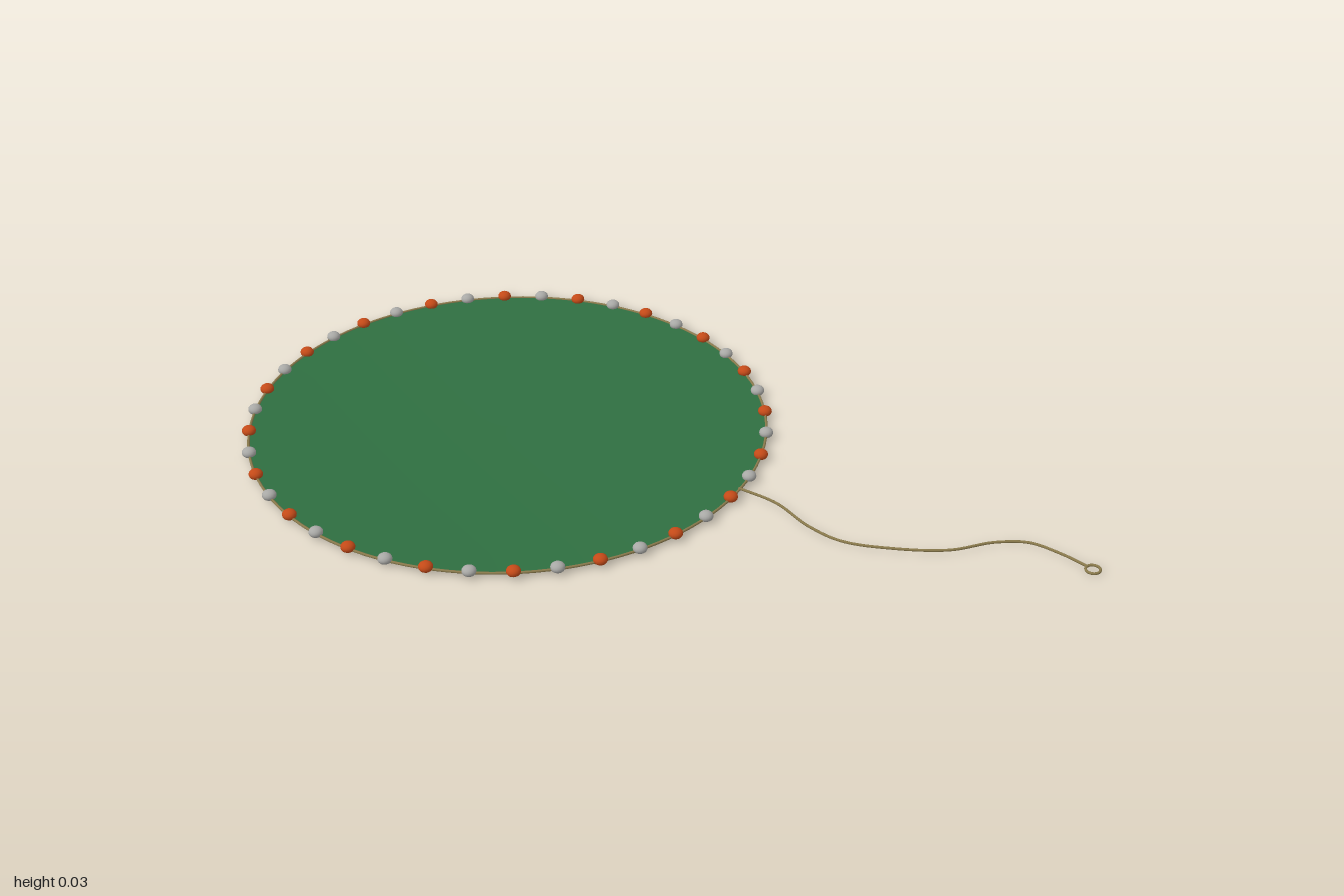
import * as THREE from 'three';

const CX = -0.392, CZ = -0.003, R = 0.59;

export function createModel() {
  const mat = (name, color, side = THREE.FrontSide) => {
    const m = new THREE.MeshStandardMaterial({ color, side });
    m.name = name;
    return m;
  };
  const green = mat('net green', 0x2f6f41, THREE.DoubleSide);
  const cord = mat('cord tan', 0x8a7a4c);
  const orange = mat('float orange', 0xc44a18);
  const grey = mat('sinker grey', 0xa9a9a6);

  const model = new THREE.Group();
  model.name = 'castNet';
  const add = (name, geometry, material, x = 0, y = 0, z = 0, parent = model) => {
    const mesh = new THREE.Mesh(geometry, material);
    mesh.name = name;
    mesh.position.set(x, y, z);
    parent.add(mesh);
    return mesh;
  };

  // Net: a very shallow round dish
  const profile = [];
  for (let i = 0; i <= 8; i++) {
    const t = i / 8;
    profile.push(new THREE.Vector2(R * t, 0.001 + 0.010 * t * t));
  }
  add('net', new THREE.LatheGeometry(profile, 80), green, CX, 0, CZ);

  // Rope around the edge
  const rim = new THREE.TorusGeometry(R, 0.003, 8, 120).rotateX(Math.PI / 2);
  add('rimRope', rim, cord, CX, 0.011, CZ);

  // Alternating floats and sinkers along the edge
  const beads = new THREE.Group();
  beads.name = 'edgeBeads';
  model.add(beads);
  const bead = new THREE.SphereGeometry(0.016, 16, 10).scale(1, 0.75, 1);
  const count = 40;
  for (let i = 0; i < count; i++) {
    const a = ((i + 0.5) / count) * Math.PI * 2;
    const isFloat = i % 2 === 0;
    add(isFloat ? 'float' : 'sinker', bead, isFloat ? orange : grey,
      CX + R * Math.cos(a), 0.016, CZ + R * Math.sin(a), beads);
  }

  // Hand line winding away from the net
  const path = [
    [0.195, 0], [0.29, 0.014], [0.39, 0.062], [0.475, 0.08], [0.58, 0.055],
    [0.69, 0.004], [0.765, -0.068], [0.83, -0.101], [0.9, -0.095], [0.967, -0.077],
  ].map(([x, z], i) => new THREE.Vector3(x, 0.012 - 0.0006 * i, z));
  add('handLine', new THREE.TubeGeometry(new THREE.CatmullRomCurve3(path), 90, 0.003, 8), cord);

  // Wrist loop at the end of the line
  const loop = new THREE.TorusGeometry(0.0155, 0.003, 8, 28).rotateX(Math.PI / 2);
  add('wristLoop', loop, cord, 0.981, 0.0065, -0.072);

  return model;
}
